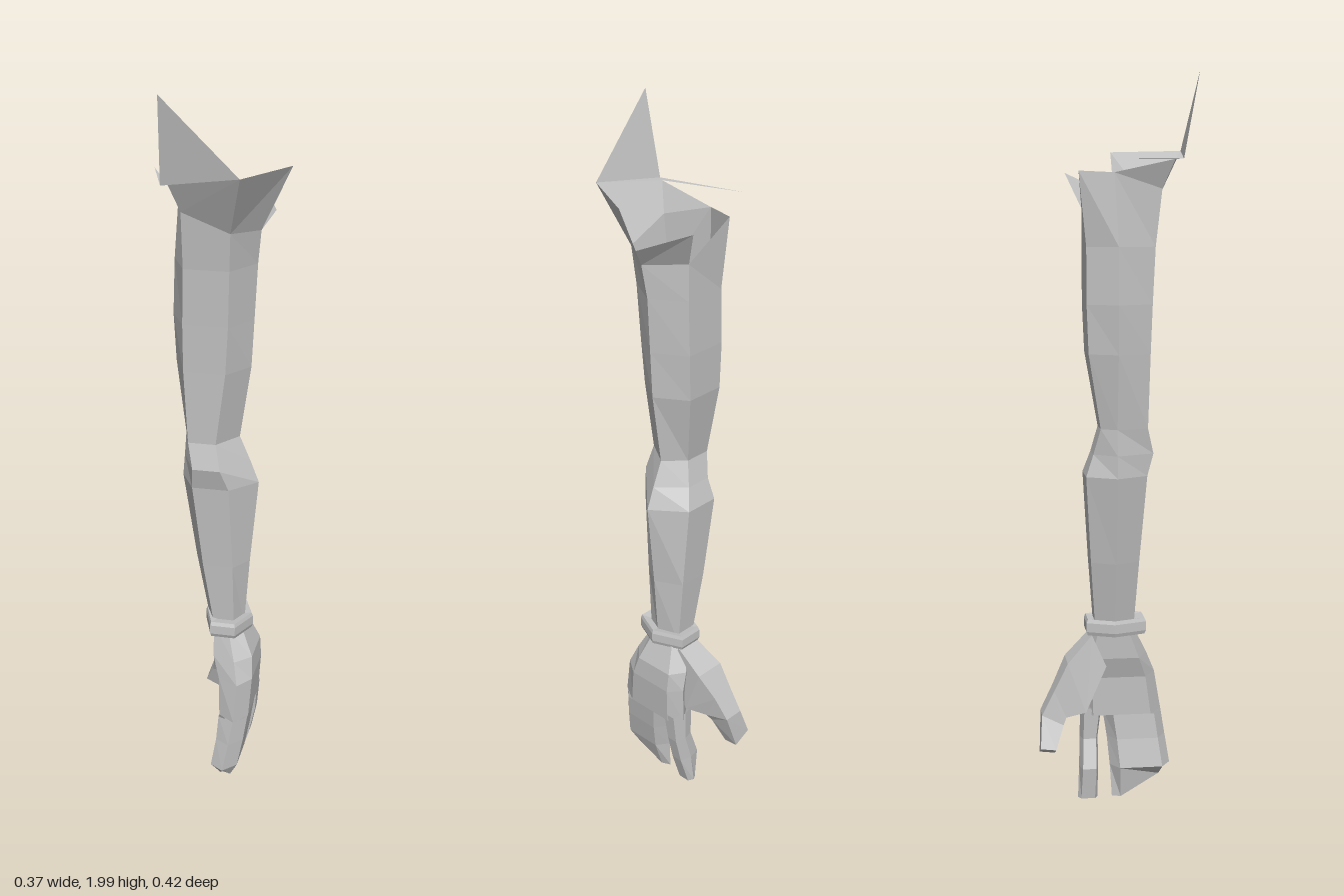
import * as THREE from 'three';

const grey = new THREE.MeshStandardMaterial({ color: 0xc4c4c4, flatShading: true, side: THREE.DoubleSide });
grey.name = 'grey';

// Mesh from a list of triangles or quads, each face a list of [x, y, z] corners
function faces(name, list) {
  const pos = [];
  for (const f of list) {
    for (let i = 1; i < f.length - 1; i++) pos.push(...f[0], ...f[i], ...f[i + 1]);
  }
  const g = new THREE.BufferGeometry();
  g.setAttribute('position', new THREE.Float32BufferAttribute(pos, 3));
  g.computeVertexNormals();
  const m = new THREE.Mesh(g, grey);
  m.name = name;
  return m;
}

// Skin a stack of rings, from top to bottom
function loft(name, rings, capEnd = false) {
  const list = [];
  for (let r = 0; r < rings.length - 1; r++) {
    const a = rings[r], b = rings[r + 1], n = a.length;
    for (let i = 0; i < n; i++) {
      const j = (i + 1) % n;
      list.push([a[i], b[i], b[j], a[j]]);
    }
  }
  if (capEnd) list.push([...rings[rings.length - 1]].reverse());
  return faces(name, list);
}

// Six-sided limb ring: left, front left, front right, right, back right, back left
const limbRing = (y, xl, xfl, xfr, xr, zf, zb) => [
  [xl, y, 0], [xfl, y, zf], [xfr, y, zf], [xr, y, 0.01], [xfr, y, zb], [xfl, y, zb],
];

// Six-sided hand ring: inner side, front ridge, outer side, back ridge
const handRing = (y, xIn, xRidge, xOut, zf, zb) => {
  const t = (zf - zb) * 0.15;
  return [
    [xIn, y, zb + t], [xIn, y, zf - t], [xRidge, y, zf],
    [xOut, y, zf - t * 1.5], [xOut, y, zb + t], [xRidge, y, zb],
  ];
};

export function createModel() {
  const model = new THREE.Group();
  model.name = 'arm';

  // Ragged open rim at the shoulder
  const rim = [
    [-0.11, 1.74, -0.01], [-0.075, 1.7, 0.12], [0.05, 1.65, 0.115],
    [0.11, 1.64, 0.02], [0.045, 1.65, -0.08], [-0.08, 1.745, -0.1],
  ];

  // Upper arm, elbow and forearm
  model.add(loft('armSleeve', [
    rim,
    limbRing(1.55, -0.122, -0.075, 0.045, 0.1, 0.103, -0.08),
    limbRing(1.4, -0.127, -0.08, 0.04, 0.092, 0.095, -0.08),
    limbRing(1.27, -0.12, -0.08, 0.032, 0.085, 0.09, -0.075),
    limbRing(1.07, -0.095, -0.07, 0.005, 0.055, 0.085, -0.042),
    limbRing(1.0, -0.1, -0.055, 0.02, 0.085, 0.102, -0.06),
    limbRing(0.94, -0.105, -0.06, 0.04, 0.108, 0.085, -0.08),
    limbRing(0.7, -0.068, -0.035, 0.048, 0.085, 0.067, -0.065),
    limbRing(0.5, -0.03, -0.005, 0.05, 0.07, 0.055, -0.05),
  ]));

  // Flared collar with its pointed corner
  const cornerIn = [-0.1, 1.775, 0.15], corner = [-0.113, 1.775, 0.17];
  const tip = [-0.105, 2.0, 0.212];
  const flareFront = [0.09, 1.805, 0.195], flareSide = [0.187, 1.805, 0.015];
  model.add(faces('collar', [
    [rim[1], rim[2], flareFront, cornerIn],
    [rim[2], rim[3], flareSide, flareFront],
    [cornerIn, corner, flareFront],
    [rim[0], rim[1], cornerIn],
  ]));
  model.add(faces('collarSpike', [[corner, flareFront, tip]]));
  model.add(faces('collarSliver', [[corner, cornerIn, [-0.185, 1.77, -0.05]]]));
  model.add(faces('backFlap', [
    [rim[3], rim[4], [0.075, 1.745, -0.122], [0.145, 1.69, 0.005]],
  ]));

  // Wristband: a thick six-sided ring
  const band = (y, s) => limbRing(y, -0.042, -0.01, 0.06, 0.095, 0.09, -0.075)
    .map(([x, , z]) => [0.025 + (x - 0.025) * s, y, 0.007 + (z - 0.007) * s]);
  model.add(loft('wristband', [
    band(0.53, 0.6), band(0.535, 0.95), band(0.525, 1), band(0.5, 1), band(0.49, 0.95), band(0.495, 0.6),
  ]));

  // Palm
  model.add(loft('palm', [
    handRing(0.5, -0.01, 0.035, 0.068, 0.06, -0.06),
    handRing(0.42, -0.005, 0.06, 0.103, 0.1, -0.09),
    handRing(0.36, 0.015, 0.073, 0.107, 0.125, -0.09),
    handRing(0.25, 0.02, 0.068, 0.1, 0.143, -0.088),
  ], true));

  // Joined fingers, with a slanted rounded end
  const mitten = [
    handRing(0.25, 0.02, 0.066, 0.1, 0.143, -0.022),
    handRing(0.18, 0.015, 0.055, 0.09, 0.153, -0.012),
    handRing(0.1, 0.002, 0.04, 0.075, 0.165, -0.005),
    handRing(0.01, 0.018, 0.032, 0.045, 0.155, 0.0),
  ];
  for (const p of mitten[3]) {
    const k = Math.max(0, p[2]) / 0.155;
    p[1] += 0.085 * k * k;
    p[0] += 0.015 * k * k;
  }
  model.add(loft('joinedFingers', mitten, true));

  // Separate index finger
  model.add(loft('indexFinger', [
    handRing(0.27, 0.025, 0.06, 0.1, -0.026, -0.087),
    handRing(0.18, 0.03, 0.06, 0.092, -0.037, -0.088),
    handRing(0.1, 0.005, 0.04, 0.075, -0.038, -0.092),
    handRing(0.01, 0.018, 0.032, 0.048, -0.041, -0.096),
  ], true));

  // Thumb, angled back and then bent down
  const thumbRing = (f, b, w0, w1) => [
    [w0, f[0], f[1]], [w1, f[0], f[1]], [w1, b[0], b[1]], [w0, b[0], b[1]],
  ];
  model.add(loft('thumb', [
    thumbRing([0.4, -0.02], [0.49, -0.06], -0.01, 0.06),
    thumbRing([0.28, -0.08], [0.42, -0.13], -0.04, 0.05),
    thumbRing([0.27, -0.135], [0.345, -0.168], -0.045, 0.022),
    thumbRing([0.25, -0.143], [0.28, -0.202], -0.05, 0.008),
    thumbRing([0.165, -0.166], [0.17, -0.208], -0.08, -0.028),
  ].map((r, i) => {
    // Tilt the lower edge of the tip towards the palm
    if (i === 4) r.forEach((p) => { if (p[0] < -0.05) p[1] += 0.025; });
    return r;
  }), true));

  return model;
}
